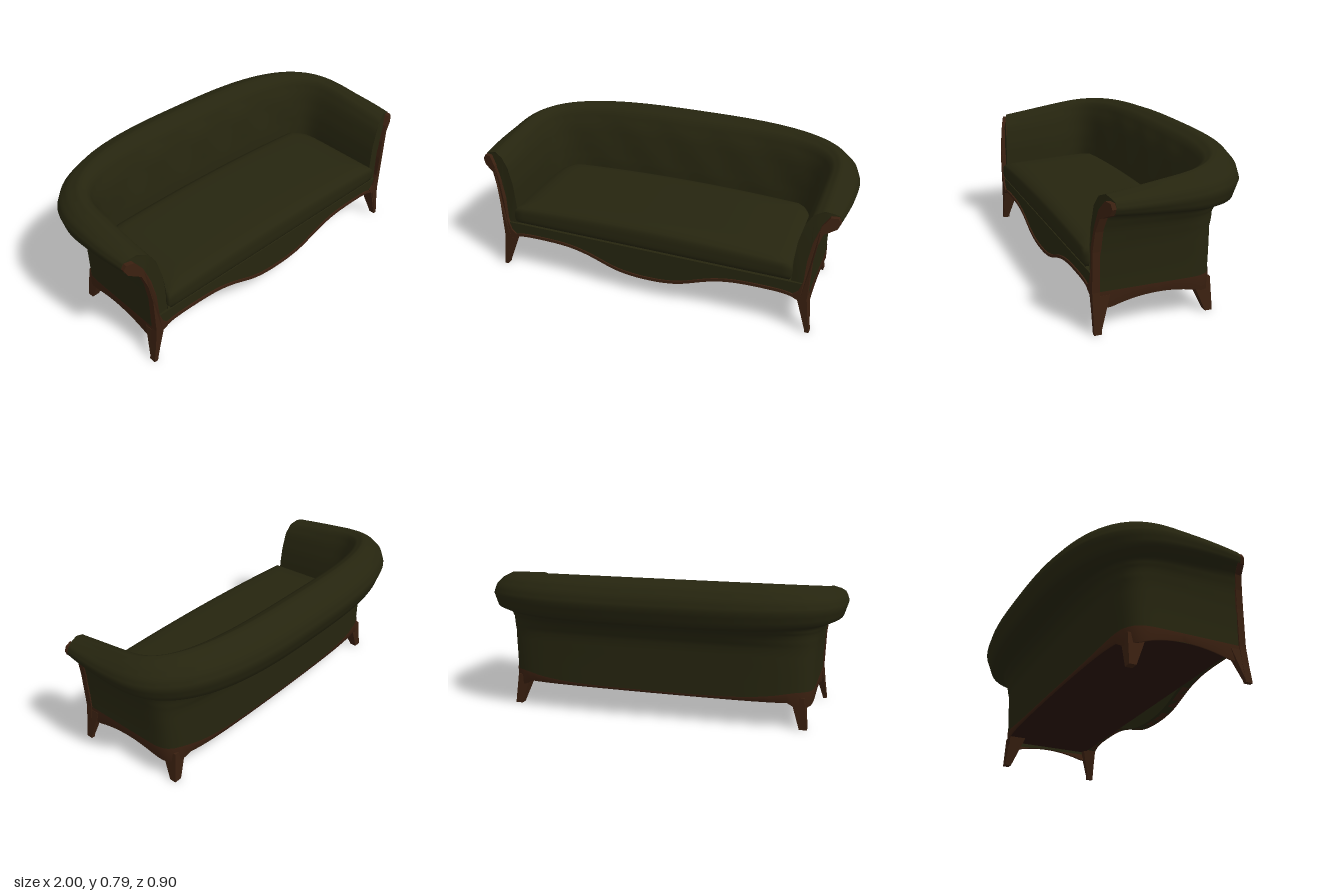
import * as THREE from 'three';
import { mergeVertices } from 'three/addons/utils/BufferGeometryUtils.js';

const lerp = THREE.MathUtils.lerp;
const ARM = 8, BEND = 60, STATIONS = ARM * 2 + BEND, BEND_Z = 0.1;

// The roll narrows a little towards the arm fronts
const frontX = (X) => X - Math.max(0, X - 0.9) * 0.2;

// Horseshoe plan: straight arms joined by a superellipse; j runs from left arm front to right arm front.
// The sharper the corner (n), the more the back bows outward between the corners.
function plan(X, backZ, frontZ, n, j) {
  const k = Math.max(ARM - j, j - ARM - BEND) / ARM;
  if (k > 0) return [lerp(X, frontX(X), k * k) * (j < ARM ? 1 : -1), lerp(BEND_Z, frontZ, k)];
  const a = (Math.PI * (j - ARM)) / BEND, c = Math.cos(a), s = Math.sin(a);
  const r = Math.pow(Math.pow(Math.abs(c), n) + Math.pow(Math.abs(s), n), -1 / n);
  const bow = 0.005 * (n - 2.9) * (r * c) ** 2;
  return [X * r * c, BEND_Z - (BEND_Z - backZ - bow) * r * s];
}

// Smooth skin over rows of [x, y, z] points
function skin(rows) {
  const w = rows[0].length, index = [];
  for (let i = 0; i < rows.length - 1; i++)
    for (let j = 0; j < w - 1; j++) {
      const a = i * w + j, b = a + w;
      index.push(a, a + 1, b, b, a + 1, b + 1);
    }
  const g = new THREE.BufferGeometry();
  g.setAttribute('position', new THREE.Float32BufferAttribute(rows.flat(2), 3));
  g.setIndex(index);
  g.computeVertexNormals();
  return g;
}

// Move every vertex by a rule
function reshape(g, rule) {
  const p = g.attributes.position, v = new THREE.Vector3();
  for (let i = 0; i < p.count; i++) {
    v.fromBufferAttribute(p, i);
    rule(v, i);
    p.setXYZ(i, v.x, v.y, v.z);
  }
  g.computeVertexNormals();
  return g;
}

const shapeOf = (pts) => new THREE.Shape(pts.map(([x, y]) => new THREE.Vector2(x, y)));

// Box between a bottom and a top rectangle, each [x0, x1, z0, z1]
function taper(bottom, top, y0, y1) {
  return reshape(new THREE.BoxGeometry(1, 1, 1), (v) => {
    const r = v.y < 0 ? bottom : top;
    v.set(v.x < 0 ? r[0] : r[1], v.y < 0 ? y0 : y1, v.z < 0 ? r[2] : r[3]);
  });
}

// Upholstery section, outside bottom over the roll to the inside:
// arm x, arm front y, arm front z, back z, back y, corner sharpness
const SECTION = [
  [0.855, 0.16, 0.42, -0.23, 0.147, 7],
  [0.857, 0.28, 0.42, -0.234, 0.30, 7],
  [0.865, 0.40, 0.42, -0.238, 0.43, 6],
  [0.88, 0.50, 0.415, -0.268, 0.50, 4.5],
  [0.905, 0.572, 0.405, -0.315, 0.535, 3.5],
  [0.945, 0.588, 0.39, -0.365, 0.54, 3],
  [0.985, 0.60, 0.375, -0.42, 0.565, 2.9],
  [1.0, 0.628, 0.37, -0.45, 0.65, 2.9],
  [0.985, 0.655, 0.37, -0.435, 0.705, 2.9],
  [0.95, 0.668, 0.38, -0.395, 0.755, 2.9],
  [0.90, 0.677, 0.39, -0.31, 0.785, 3],
  [0.853, 0.658, 0.405, -0.24, 0.75, 3.4],
  [0.817, 0.605, 0.41, -0.197, 0.66, 4],
  [0.79, 0.505, 0.42, -0.17, 0.55, 4.5],
  [0.778, 0.40, 0.425, -0.15, 0.45, 5],
  [0.772, 0.27, 0.425, -0.137, 0.27, 5],
];

function upholstery() {
  const fine = [];
  for (let i = 0; i < SECTION.length - 1; i++)
    for (let k = 0; k < 3; k++) fine.push(SECTION[i].map((v, c) => lerp(v, SECTION[i + 1][c], k / 3)));
  fine.push(SECTION[SECTION.length - 1]);
  return skin(fine.map(([X, yf, zf, zb, yb, n], i) => {
    const row = [];
    for (let j = 0; j <= STATIONS; j++) {
      const [x, z] = plan(X, zb, zf, n, j);
      // soft tufting on the inside of the back
      const tuft = i > 34 && i < 44 && Math.abs(x) < 0.7
        ? 0.005 * Math.cos(x * 20) * Math.sin(((i - 34) * Math.PI) / 5) : 0;
      row.push([x, lerp(yf, yb, (zf - z) / (zf - zb)), z + tuft]);
    }
    return row;
  }));
}

// Wooden rail around sides and back, arched between the legs, with a narrow lip below
function rail() {
  const rows = [[], [], []];
  for (let j = 0; j <= STATIONS; j++) {
    const [x, z] = plan(0.859, -0.234, 0.425, 7, j), [xi, zi] = plan(0.847, -0.222, 0.425, 7, j);
    const back = Math.abs(x) < 0.76 && z < 0;
    const s = (z - 0.11) / 0.3;
    const low = back ? 0.145 : Math.max(0.115, 0.155 - 0.06 * s * s);
    const high = back ? lerp(0.157, 0.2, Math.pow(Math.abs(x) / 0.76, 4)) : 0.2;
    rows[0].push([xi, low + 0.002, zi]);
    rows[1].push([x, low, z]);
    rows[2].push([x, high, z]);
  }
  return skin(rows);
}

// Plump seat cushion with crowned top and rounded back corners
function cushion() {
  let g = new THREE.BoxGeometry(2, 2, 2, 32, 8, 20);
  g.deleteAttribute('uv');
  g.deleteAttribute('normal');
  g = mergeVertices(g);
  return reshape(g, (v) => {
    const { x: u, y: w, z: d } = v;
    const edge = Math.max(Math.pow(Math.abs(u), 24), Math.pow(Math.abs(d), 12));
    const crown = 0.03 * (1 - d) * 0.5 + 0.022 * (1 - u * u);
    const round = 1 - 0.035 * Math.pow(Math.abs(w), 4);
    v.x = u * 0.778 * (1 - 0.018 * w ** 4) * (1 - 0.012 * (1 - d) - 0.09 * Math.pow(Math.max(0, -d), 6));
    v.z = 0.16 + d * 0.29 * round;
    v.y = 0.34 + w * 0.065 * (1 - 0.3 * edge) + (w > 0 ? w * crown : 0);
  });
}

// Lower edge of the front apron, left to right
const EDGE = new THREE.SplineCurve([
  [-0.845, 0.165], [-0.79, 0.195], [-0.7, 0.208], [-0.5, 0.205], [-0.36, 0.18], [-0.2, 0.125], [-0.1, 0.106], [0, 0.101],
  [0.1, 0.106], [0.2, 0.125], [0.36, 0.18], [0.5, 0.205], [0.7, 0.208], [0.79, 0.195], [0.845, 0.165],
].map(([x, y]) => new THREE.Vector2(x, y))).getPoints(70).map((p) => [p.x, p.y]);

function slab(pts, depth, z) {
  const g = new THREE.ExtrudeGeometry(shapeOf(pts), { depth, bevelEnabled: false });
  return g.translate(0, 0, z);
}

// Front leg and scrolled arm stile in one outline
const STILE = [
  [0.887, 0], [0.873, 0.1], [0.862, 0.2], [0.869, 0.4], [0.884, 0.5], [0.908, 0.57], [0.936, 0.583],
  [0.966, 0.598], [0.98, 0.628], [0.966, 0.652], [0.93, 0.655], [0.895, 0.61], [0.864, 0.52], [0.846, 0.42],
  [0.838, 0.3], [0.815, 0.235], [0.79, 0.215], [0.79, 0.195], [0.825, 0.18], [0.846, 0.1], [0.866, 0],
];

export function createModel() {
  const mat = (name, color) => {
    const m = new THREE.MeshStandardMaterial({ color, side: THREE.DoubleSide });
    m.name = name;
    return m;
  };
  const fabric = mat('olive fabric', 0x26250f);
  const wood = mat('brown wood', 0x3a2010);
  const darkWood = mat('dark underside', 0x2a150a);
  const sofa = new THREE.Group();
  sofa.name = 'sofa';
  const add = (name, g, m, flip) => {
    const mesh = new THREE.Mesh(g, m);
    mesh.name = name;
    if (flip) mesh.scale.x = -1;
    sofa.add(mesh);
  };

  add('backAndArms', upholstery(), fabric);
  add('cushion', cushion(), fabric);
  add('rail', rail(), wood);

  // Seat base, apron and its wooden edge
  add('seatBase', taper([-0.77, 0.77, -0.13, 0.385], [-0.77, 0.77, -0.13, 0.385], 0.182, 0.29), fabric);
  add('apron', slab([...EDGE, [0.845, 0.278], [-0.845, 0.278]], 0.055, 0.378), fabric);
  add('apronTrim', slab([...EDGE, ...EDGE.map(([x, y]) => [x, y + 0.016]).reverse()], 0.045, 0.395), wood);

  // Underside panel following the horseshoe plan
  const floor = [];
  for (let j = 0; j <= STATIONS; j++) {
    const [x, z] = plan(0.85, -0.226, 0.375, 7, j);
    floor.push([x, -z]);
  }
  const panel = slab(floor, 0.008, 0).rotateX(-Math.PI / 2).translate(0, 0.172, 0);
  add('undersidePanel', panel, darkWood);

  // Arm fronts and legs, mirrored
  const armFront = reshape(new THREE.ShapeGeometry(shapeOf(SECTION)), (v, i) => {
    v.x = frontX(v.x);
    v.z = SECTION[i][2];
  });
  const stile = reshape(slab(STILE, 0.037, 0.405), (v) => {
    v.z -= Math.max(0, v.y - 0.42) * 0.1 + Math.max(0, v.x - 0.89) * 0.35;
  });
  const frontLeg = taper([0.867, 0.886, 0.41, 0.44], [0.815, 0.861, 0.355, 0.438], 0, 0.18);
  const backLeg = taper([0.797, 0.838, -0.187, -0.15], [0.745, 0.818, -0.18, -0.08], 0, 0.17);
  for (const flip of [false, true]) {
    const side = flip ? 'right' : 'left';
    add(side + 'ArmFront', armFront, fabric, flip);
    add(side + 'ArmStile', stile, wood, flip);
    add(side + 'FrontLeg', frontLeg, wood, flip);
    add(side + 'BackLeg', backLeg, wood, flip);
  }
  return sofa;
}
